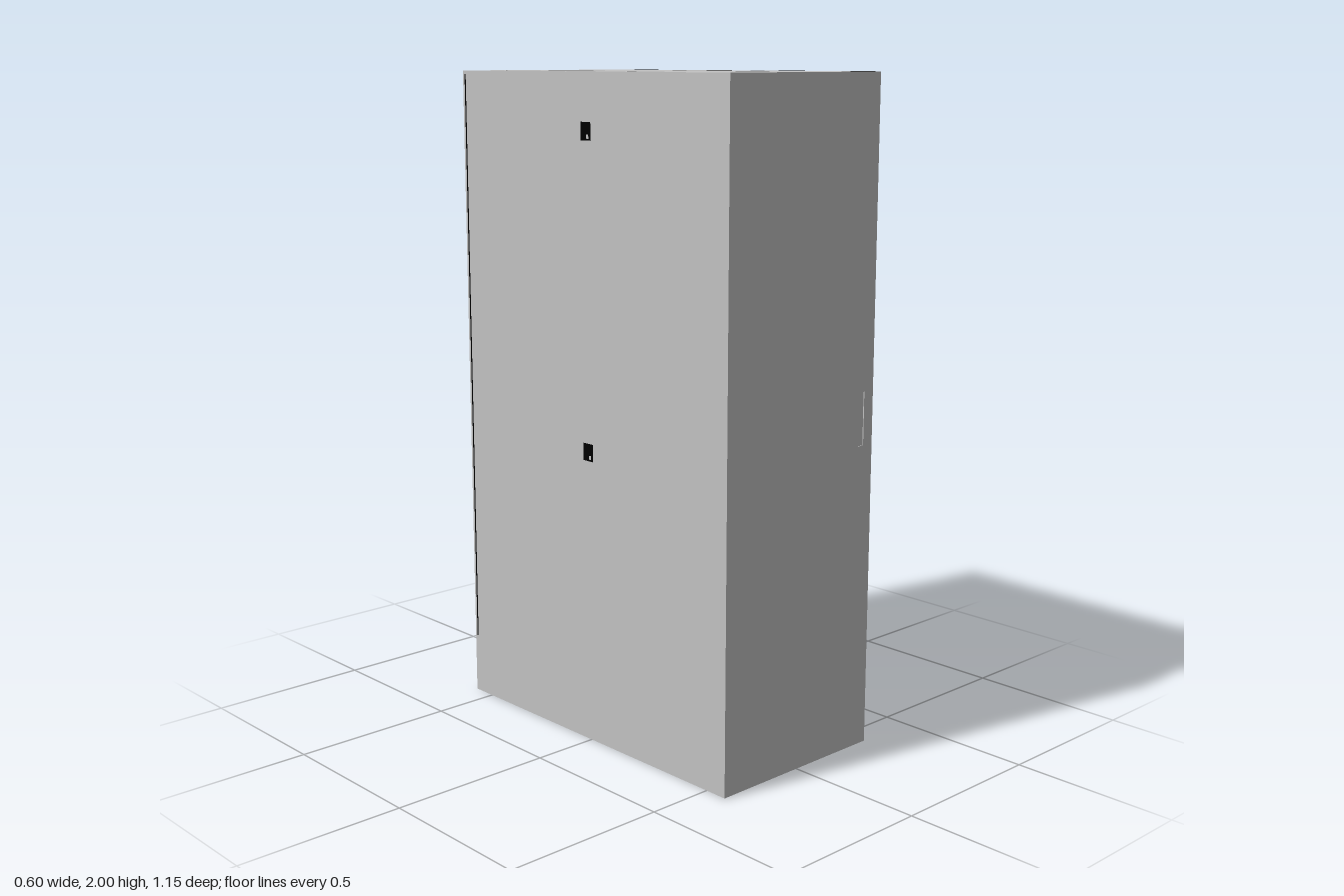
import * as THREE from 'three';

export function createModel() {
  const group = new THREE.Group();
  const grey = new THREE.MeshStandardMaterial({ color: 0xc2c2c2, side: THREE.DoubleSide });
  grey.name = 'cabinet grey';
  const black = new THREE.MeshStandardMaterial({ color: 0x000000, side: THREE.DoubleSide });
  black.name = 'fitting black';

  const W = 0.3, D = 0.575, H = 2, T = 0.003, FOOT = 0.002;

  function add(name, geometry, material, x, y, z) {
    const mesh = new THREE.Mesh(geometry, material);
    mesh.name = name;
    mesh.position.set(x, y, z);
    group.add(mesh);
    return mesh;
  }
  const box = (name, w, h, d, x, y, z, material = grey) =>
    add(name, new THREE.BoxGeometry(w, h, d), material, x, y, z);

  // Rectangle path from corner to corner, used for outlines and cut-outs
  function rect(path, x0, y0, x1, y1) {
    path.moveTo(x0, y0);
    path.lineTo(x1, y0);
    path.lineTo(x1, y1);
    path.lineTo(x0, y1);
    path.closePath();
    return path;
  }

  // Flat sheet with rectangular openings
  function sheet(outline, openings, depth = T) {
    const shape = rect(new THREE.Shape(), ...outline);
    for (const o of openings) shape.holes.push(rect(new THREE.Path(), ...o));
    return new THREE.ExtrudeGeometry(shape, { depth, bevelEnabled: false });
  }

  // Roof with cable cut-outs: [xMin, zMin, xMax, zMax]
  const cutouts = [[-0.123, -0.453, 0.12, -0.333], [-0.08, 0.365, 0.1, 0.44]];
  for (const [z0, z1] of [[-0.453, -0.275], [-0.206, -0.028], [0.13, 0.308]]) {
    cutouts.push([-0.297, z0, -0.222, z1], [0.218, z0, 0.293, z1]);
  }
  add('roofPanel', sheet([-W, -D, W, D], cutouts).rotateX(Math.PI / 2), grey, 0, H, 0);
  box('roofSeam', 0.003, 0.001, 1.115, 0.2965, H, -0.002, black);

  // Doors with a narrow recessed grip: [xMin, yMin, xMax, yMax]
  function door(name, z, grip) {
    const [x0, y0, x1, y1] = grip;
    add(name, sheet([-W, FOOT, W, H - T], [grip]), grey, 0, 0, z - T / 2);
    box(name + 'Grip', x1 - x0 + 0.01, y1 - y0 + 0.01, 0.002,
      (x0 + x1) / 2, (y0 + y1) / 2, z - Math.sign(z) * 0.005);
  }
  door('frontDoor', D - T / 2, [0.238, 0.93, 0.262, 1.09]);
  door('backDoor', -D + T / 2, [-0.027, 0.91, -0.004, 1.07]);
  box('backDoorInnerCatch', 0.04, 0.04, 0.002, 0.15, 1.89, -D + 0.008, black);

  // Side panels, with dark strips inside near the front and back
  const wallH = H - T - FOOT;
  for (const s of [-1, 1]) {
    box('sidePanel', T, wallH, 2 * (D - T), s * (W - T / 2), FOOT + wallH / 2, 0);
    box('sidePanelSeam', 0.001, 1.8, 0.005, s * W, 1.09, -0.564, black);
    box('frontInnerStrip', 0.001, 1.86, 0.165, s * (W - T - 0.0005), 1.04, 0.4725, black);
    box('backInnerStrip', 0.001, 1.86, 0.22, s * (W - T - 0.0005), 1.04, -0.445, black);
  }

  // Small latches on the side panels, with a notch at the lower right
  const latch = sheet([-0.021, -0.026, 0.021, 0.026], [[0.003, -0.021, 0.013, -0.009]], 0.001);
  for (const [s, y] of [[1, 0.9], [-1, 0.9], [-1, 1.834]]) {
    add('sideLatch', latch, black, s * W, y, 0).rotation.y = s * Math.PI / 2;
  }

  // Levelling feet just inside the corners
  for (const x of [-0.24, 0.24]) {
    for (const z of [-0.545, 0.545]) {
      add('foot', new THREE.CylinderGeometry(0.014, 0.014, 0.012, 12), grey, x, 0.006, z);
      add('footStem', new THREE.CylinderGeometry(0.006, 0.006, 0.04, 10), grey, x, 0.03, z);
      box('footBracket', 0.06, 0.004, 0.05, x + Math.sign(x) * 0.025, 0.05, z);
    }
  }

  return group;
}
